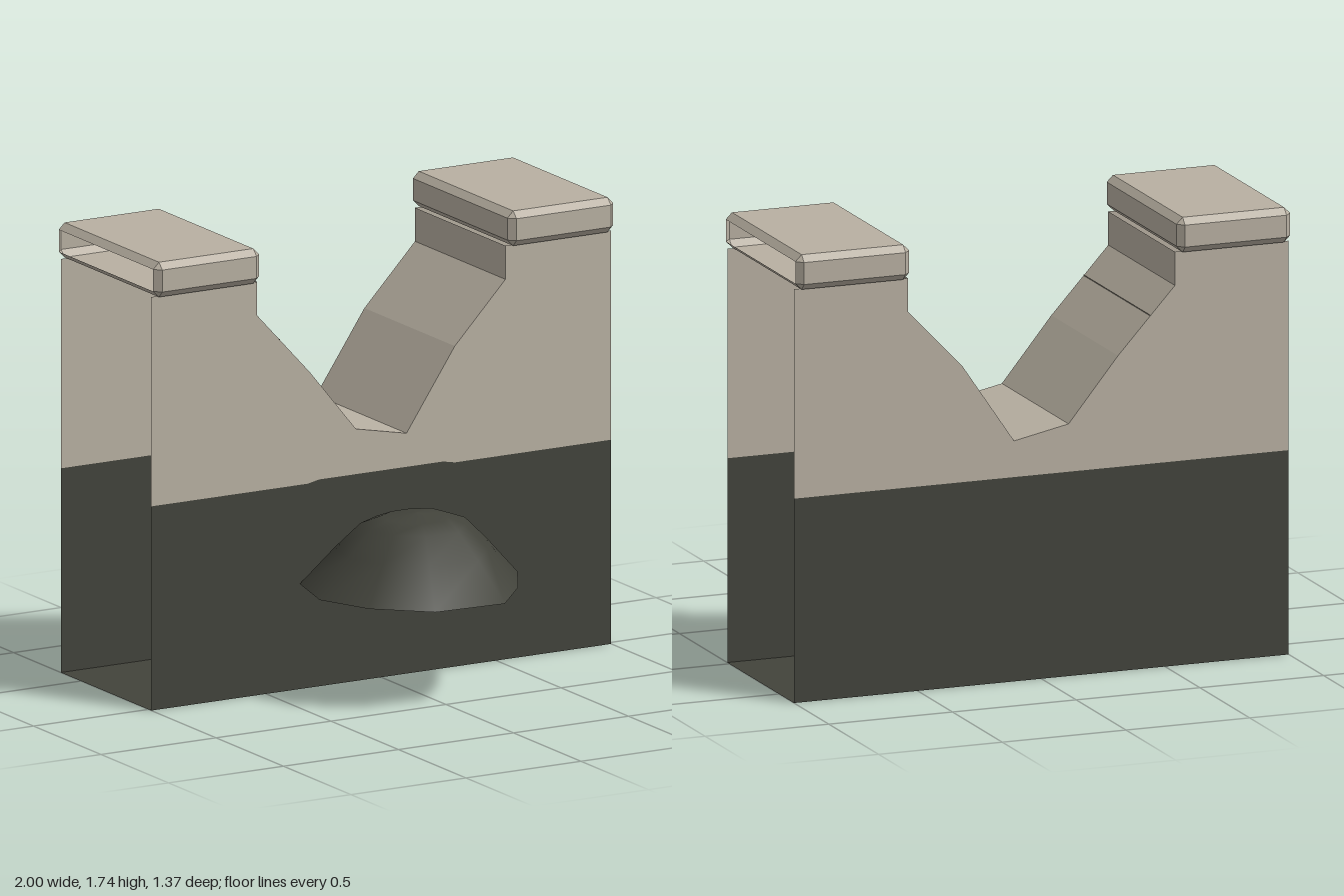
import * as THREE from 'three';
import { ConvexGeometry } from 'three/addons/geometries/ConvexGeometry.js';

const FRONT = 0.02, BACK = -0.65, SPLIT = 0.79, DIVIDER = 0.44;

// Broken gap in the top of the wall, from -x to +x
const NOTCH = [[-0.54, 1.6], [-0.54, 1.47], [-0.31, 1.22], [-0.11, 0.975],
  [0.11, 0.93], [0.32, 1.24], [0.54, 1.47], [0.54, 1.6]];

// Colour border on the front face, slightly raised in the middle
const FRONT_SPLIT = [[-1, SPLIT], [-0.32, SPLIT], [-0.27, 0.8], [0.27, 0.8], [0.32, SPLIT], [1, SPLIT]];
const BACK_SPLIT = [[-1, SPLIT], [1, SPLIT]];

function panel(points, z, turned) {
  const geo = new THREE.ShapeGeometry(new THREE.Shape(points.map(([x, y]) => new THREE.Vector2(x, y))));
  if (turned) geo.scale(-1, 1, 1).rotateY(Math.PI);
  else geo.scale(1, 1, 1);
  if (turned) {
    // reverse the winding so the panel faces backwards
    const idx = geo.index;
    for (let i = 0; i < idx.count; i += 3) {
      const a = idx.getX(i);
      idx.setX(i, idx.getX(i + 1));
      idx.setX(i + 1, a);
    }
    geo.computeVertexNormals();
  }
  return geo.translate(0, 0, z);
}

// Strip of flat faces spanning the wall thickness along an x-y path
function strip(path) {
  const pos = [];
  for (let i = 0; i + 1 < path.length; i++) {
    const [ax, ay] = path[i], [bx, by] = path[i + 1];
    pos.push(ax, ay, FRONT, bx, by, FRONT, bx, by, BACK);
    pos.push(ax, ay, FRONT, bx, by, BACK, ax, ay, BACK);
  }
  const geo = new THREE.BufferGeometry();
  geo.setAttribute('position', new THREE.Float32BufferAttribute(pos, 3));
  geo.computeVertexNormals();
  return geo;
}

// Chamfered coping block, open at the outer end
function copingGeometry(side) {
  const size = [0.23, 0.0675, 0.375], c = 0.025, pts = [];
  for (const sx of [-1, 1]) for (const sy of [-1, 1]) for (const sz of [-1, 1]) {
    for (let full = 0; full < 3; full++) {
      const [x, y, z] = size.map((h, i) => (i === full ? h : h - c));
      pts.push(new THREE.Vector3(sx * x, sy * y, sz * z));
    }
  }
  const src = new ConvexGeometry(pts).attributes.position;
  const out = [];
  for (let i = 0; i < src.count; i += 3) {
    const onEnd = [0, 1, 2].every(k => src.getX(i + k) * side > size[0] - 0.001);
    if (onEnd) continue;
    for (let k = 0; k < 3; k++) out.push(src.getX(i + k), src.getY(i + k), src.getZ(i + k));
  }
  const geo = new THREE.BufferGeometry();
  geo.setAttribute('position', new THREE.Float32BufferAttribute(out, 3));
  geo.computeVertexNormals();
  return geo.translate(side * 0.77, 1.6675, -0.315);
}

// Irregular rim of the basin, as x-z offsets from its centre
const RIM = [[0.44, 0], [0.32, 0.21], [0.15, 0.40], [-0.14, 0.38], [-0.33, 0.21],
  [-0.42, 0], [-0.36, -0.25], [-0.14, -0.38], [0.15, -0.38], [0.38, -0.25]];

// Rings of the rim scaled inward, cut off flat against the wall
function rockGeometry(rings) {
  const pos = [], idx = [], n = RIM.length;
  for (const [s, y] of rings)
    for (const [x, z] of RIM) pos.push(x * s, y, Math.max(FRONT, 0.28 + z * s));
  for (let r = 0; r + 1 < rings.length; r++) for (let i = 0; i < n; i++) {
    const a = r * n + i, b = r * n + (i + 1) % n;
    idx.push(a, a + n, b, b, a + n, b + n);
  }
  const geo = new THREE.BufferGeometry();
  geo.setAttribute('position', new THREE.Float32BufferAttribute(pos, 3));
  geo.setIndex(idx);
  geo.computeVertexNormals();
  return geo;
}

export function createModel() {
  const model = new THREE.Group();
  const stone = new THREE.MeshStandardMaterial({ color: 0xb8b0a2, side: THREE.DoubleSide });
  stone.name = 'pale stone';
  const dark = new THREE.MeshStandardMaterial({ color: 0x42433b, side: THREE.DoubleSide });
  dark.name = 'dark stone';
  const add = (name, geo, mat) => {
    const mesh = new THREE.Mesh(geo, mat);
    mesh.name = name;
    model.add(mesh);
  };

  // Front and back faces, dark below and pale above
  const top = [[1, 1.6], ...[...NOTCH].reverse(), [-1, 1.6]];
  for (const [name, split, z, turned] of [['front', FRONT_SPLIT, FRONT, false], ['back', BACK_SPLIT, BACK, true]]) {
    add(name + 'LowerWall', panel([[-1, 0], [1, 0], ...[...split].reverse()], z, turned), dark);
    add(name + 'UpperWall', panel([...split, ...top], z, turned), stone);
  }

  // Broken gap and floor; both ends of the wall stay open
  add('brokenGap', strip(NOTCH), stone);
  add('floor', strip([[1, 0], [-1, 0]]), dark);

  for (const side of [-1, 1]) {
    const name = side > 0 ? 'left' : 'right';
    const x = side * DIVIDER;
    const path = (y0, y1) => (side > 0 ? [[x, y1], [x, y0]] : [[x, y0], [x, y1]]);
    // Inner partitions closing off the hollow middle
    add(name + 'LowerPartition', strip(path(0, SPLIT)), dark);
    add(name + 'UpperPartition', strip(path(SPLIT, 1.365)), stone);
    add(name + 'Coping', copingGeometry(side), stone);
  }

  // Rock bulging from the front
  add('rockTop', rockGeometry([[1, 0.41], [0.7, 0.555], [0.48, 0.65], [0.3, 0.68], [0, 0.695]]), dark);
  add('rockUnderside', rockGeometry([[0, 0.38], [0.2, 0.402], [1, 0.41]]), dark);
  return model;
}
